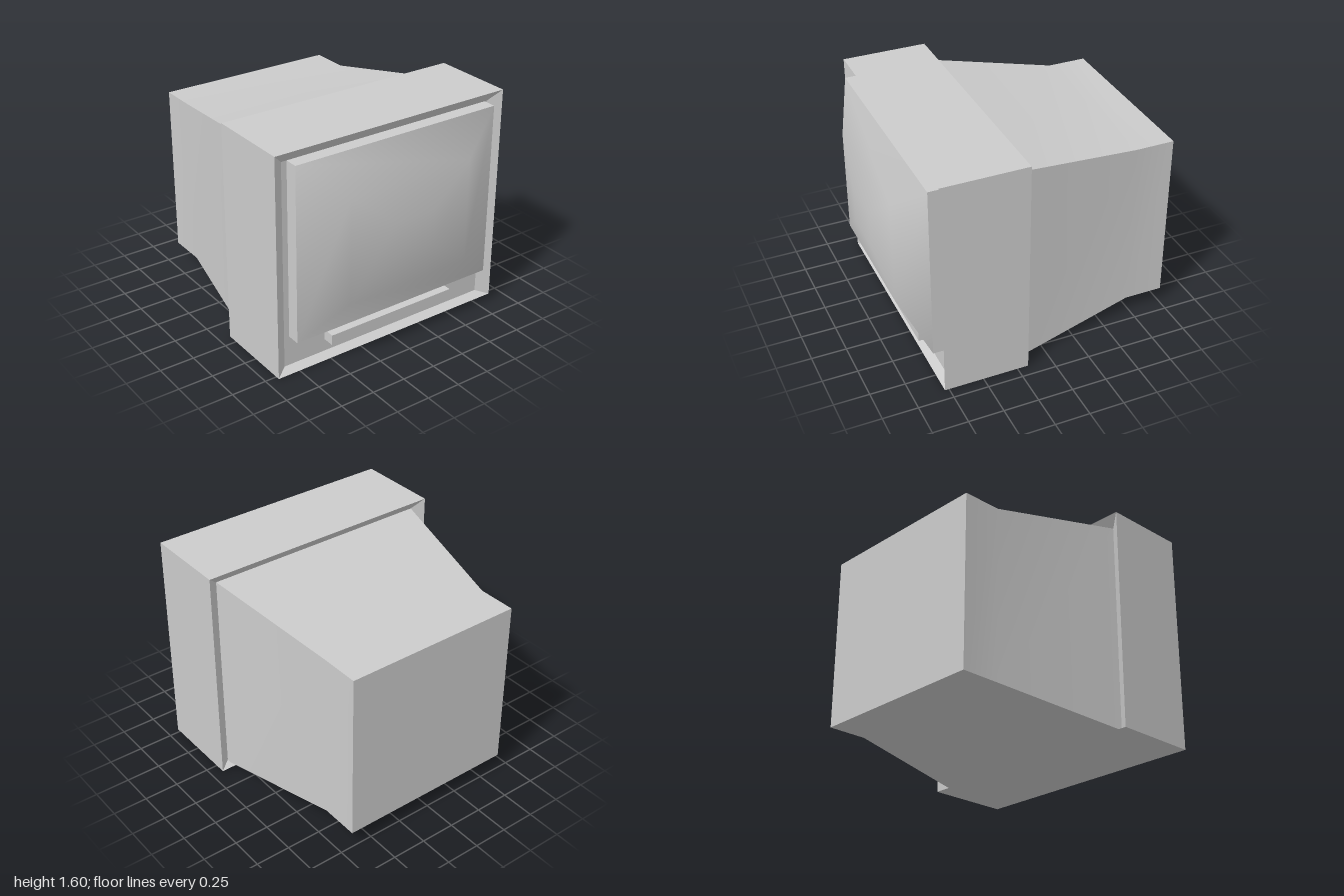
import * as THREE from 'three';
import { toCreasedNormals } from 'three/addons/utils/BufferGeometryUtils.js';

const material = new THREE.MeshStandardMaterial({ color: 0xcccccc });

// Closed loft through rectangles [x0, x1, y0, y1, z], listed from front to back.
function loft(name, rings, creaseDegrees) {
  const points = [];
  const index = [];
  for (const [x0, x1, y0, y1, z] of rings) {
    points.push(x0, y0, z, x1, y0, z, x1, y1, z, x0, y1, z);
  }
  for (let r = 0; r < rings.length - 1; r++) {
    for (let i = 0; i < 4; i++) {
      const a = r * 4 + i;
      const an = r * 4 + ((i + 1) % 4);
      index.push(a, a + 4, an + 4, a, an + 4, an);
    }
  }
  const e = (rings.length - 1) * 4;
  index.push(0, 1, 2, 0, 2, 3, e, e + 2, e + 1, e, e + 3, e + 2);

  const geometry = new THREE.BufferGeometry();
  geometry.setAttribute('position', new THREE.Float32BufferAttribute(points, 3));
  geometry.setIndex(index);
  const mesh = new THREE.Mesh(
    toCreasedNormals(geometry, THREE.MathUtils.degToRad(creaseDegrees)), material);
  mesh.name = name;
  return mesh;
}

export function createModel() {
  const group = new THREE.Group();
  group.name = 'monitor';

  // Deep frame with a bevelled recess at the front and the back
  group.add(loft('bezel', [
    [-0.83, 0.83, 0.03, 1.52, 0.72],
    [-0.915, 0.915, 0, 1.6, 0.78],
    [-0.915, 0.915, 0, 1.6, 0.17],
    [-0.83, 0.83, 0.03, 1.52, 0.23],
  ], 20));

  // Tapered tube housing, straight at the rear
  group.add(loft('rearHousing', [
    [-0.833, 0.833, 0.014, 1.525, 0.23],
    [-0.66, 0.66, 0.12, 1.358, -0.72],
    [-0.66, 0.66, 0.12, 1.358, -1],
  ], 30));

  // Bulging glass: concentric rectangles stepping forward from a slab
  const screenRing = (scale, z) => [
    0.01 - 0.8 * scale, 0.01 + 0.8 * scale,
    0.885 - 0.635 * scale, 0.885 + 0.635 * scale, z];
  group.add(loft('screen', [
    screenRing(0.2, 1),
    screenRing(0.6, 0.955),
    screenRing(1, 0.815),
    screenRing(1, 0.71),
  ], 42));

  // Control strip under the screen
  const strip = new THREE.Mesh(new THREE.BoxGeometry(1.015, 0.075, 0.1), material);
  strip.name = 'controlStrip';
  strip.position.set(0, 0.158, 0.757);
  group.add(strip);

  return group;
}
